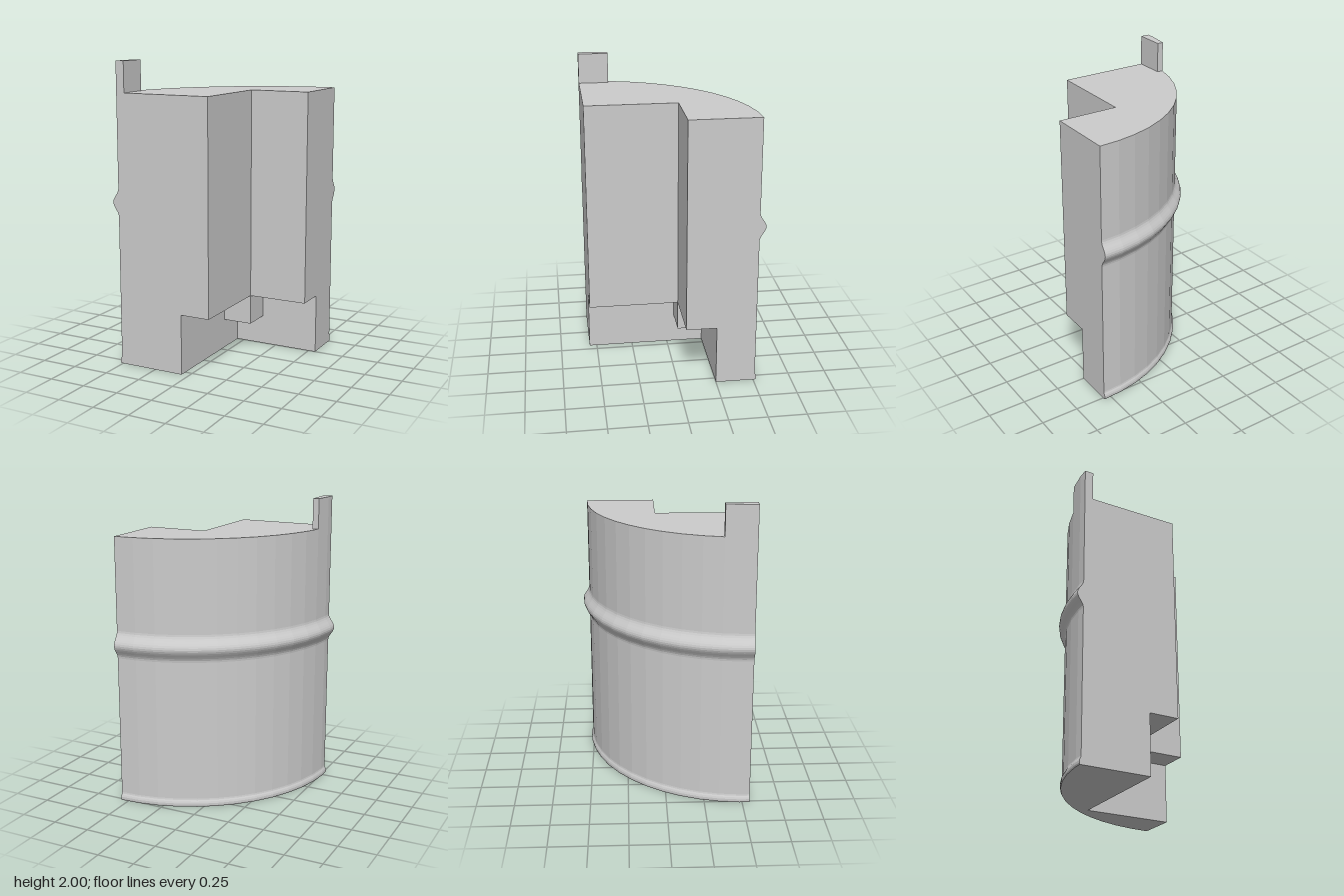
import * as THREE from 'three';

const STEP = THREE.MathUtils.degToRad(7.2); // facet angle of the curved wall
const COUNT = 13;                           // the last facet is cut in half at the front
const R = 1.06, TOP = 1.8;
const LEDGE = 0.4, NOTCH_X = 0.4, NOTCH_Z = 0.6; // notch reach from the curve's axis
const DEEP = 0.2;                                // extra reach of the notch below the ledge

const material = new THREE.MeshStandardMaterial({ color: 0xcccccc, flatShading: true });

// Wall profile [radius, height]: foot lip, plain wall, rounded ridge, plain wall
function wallProfile() {
  const pts = [[1.067, 0], [1.071, 0.01], [1.071, 0.024], [1.067, 0.036], [1.062, 0.045], [R, 0.055]];
  for (let i = 0; i <= 14; i++) {
    pts.push([R + 0.041 * Math.sin(Math.PI * i / 14) ** 2, 1 + 0.185 * i / 14]);
  }
  pts.push([R, TOP]);
  return pts;
}

// Faceted quarter arc as [reach in x, reach in z]
function arc(r) {
  const pts = [];
  for (let i = 0; i < COUNT; i++) pts.push([r * Math.sin(i * STEP), r * Math.cos(i * STEP)]);
  pts.push([r * Math.cos(STEP / 2), 0]);
  return pts;
}

const rect = (u0, v0, u1, v1) => [[u0, v0], [u1, v0], [u1, v1], [u0, v1]];

// Flat polygon; points are measured as reach from the axis
function flat(pts, su, sv) {
  return new THREE.ShapeGeometry(new THREE.Shape(pts.map(([u, v]) => new THREE.Vector2(su * u, sv * v))));
}
const facing = {
  front: (pts, at) => flat(pts, -1, 1).translate(0, 0, -at),
  left: (pts, at) => flat(pts, 1, 1).rotateY(Math.PI / 2).translate(-at, 0, 0),
  up: (pts, at) => flat(pts, -1, 1).rotateX(-Math.PI / 2).translate(0, at, 0),
  down: (pts, at) => flat(pts, -1, -1).rotateX(Math.PI / 2).translate(0, at, 0),
};

export function createModel() {
  const group = new THREE.Group();
  group.name = 'quarterRoundBlock';
  const add = (name, geometry) => {
    const mesh = new THREE.Mesh(geometry, material);
    mesh.name = name;
    mesh.position.set(0.55, 0, 0.55);
    group.add(mesh);
  };
  const profile = wallProfile();

  // Curved outer wall with ridge and foot lip, trimmed at the front plane
  const wall = new THREE.LatheGeometry(
    profile.map(([r, y]) => new THREE.Vector2(r, y)), COUNT, Math.PI, COUNT * STEP).toNonIndexed();
  const pos = wall.attributes.position;
  for (let i = 0; i < pos.count; i++) pos.setZ(i, Math.min(pos.getZ(i), 0));
  wall.computeVertexNormals();
  add('curvedWall', wall);

  // End faces and notch walls, the same layout on both straight sides
  const sides = [
    ['front', NOTCH_X, NOTCH_Z, Math.cos(STEP / 2)],
    ['left', NOTCH_Z, NOTCH_X, 1],
  ];
  for (const [dir, a, b, scale] of sides) {
    const face = facing[dir];
    add(dir + 'EndFace', face([
      ...profile.map(([r, y]) => [r * scale, y]),
      [a, TOP], [a, LEDGE], [a + DEEP, LEDGE], [a + DEEP, 0]], 0));
    add(dir + 'UpperNotchWall', face(rect(0, LEDGE, a, TOP), b));
    add(dir + 'LowerNotchWall', face([
      [0, 0], [a + DEEP, 0], [a + DEEP, LEDGE / 2], [a, LEDGE / 2], [a, LEDGE], [0, LEDGE]], b + DEEP));
    add(dir + 'CornerBlockFace', face(rect(a, LEDGE / 2, a + DEEP, LEDGE), b));
  }

  // Top and bottom
  const section = (r, a, b) => [...arc(r), [a, 0], [a, b], [0, b]];
  add('topFace', facing.up(section(R, NOTCH_X, NOTCH_Z), TOP));
  add('bottomFace', facing.down(section(profile[0][0], NOTCH_X + DEEP, NOTCH_Z + DEEP), 0));

  // Undersides of the overhang and of the block in its corner
  add('rearLedge', facing.down(rect(0, NOTCH_Z, NOTCH_X, NOTCH_Z + DEEP), LEDGE));
  add('sideLedge', facing.down(rect(NOTCH_X, 0, NOTCH_X + DEEP, NOTCH_Z), LEDGE));
  add('cornerBlockUnderside',
    facing.down(rect(NOTCH_X, NOTCH_Z, NOTCH_X + DEEP, NOTCH_Z + DEEP), LEDGE / 2));

  // Upright tab on the top edge, following the curved wall
  const outer = arc(R).slice(-3);
  const tab = new THREE.Shape([[1, 0.2], [outer[0][0], 0.2], ...outer, [1, 0]]
    .map(([u, v]) => new THREE.Vector2(-u, v)));
  add('topTab', new THREE.ExtrudeGeometry(tab, { depth: 0.2, bevelEnabled: false })
    .rotateX(-Math.PI / 2).translate(0, TOP, 0));

  return group;
}
